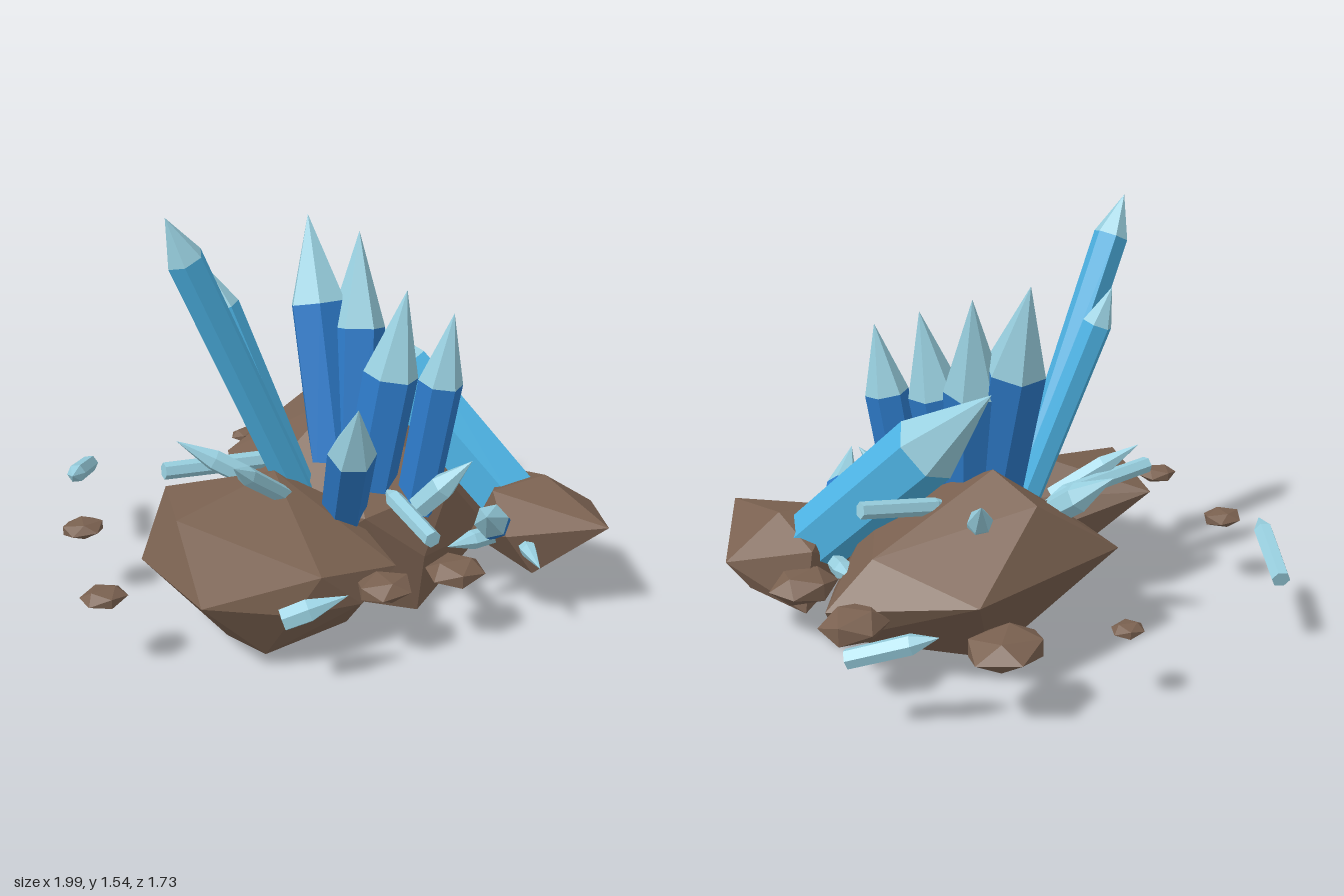
import * as THREE from 'three';
import { ConvexGeometry } from 'three/addons/geometries/ConvexGeometry.js';

const mat = (name, color) => {
  const m = new THREE.MeshStandardMaterial({ color });
  m.name = name;
  return m;
};

// Faceted normals for every geometry
const facet = (geo) => {
  const g = geo.index ? geo.toNonIndexed() : geo;
  g.computeVertexNormals();
  return g;
};

export function createModel() {
  const root = new THREE.Group();
  root.name = 'crystalCluster';
  const stone = mat('brown stone', 0x7a6150);
  const sky = mat('light blue crystal', 0x4db3e4);
  const deep = mat('deep blue crystal', 0x2d7ac8);
  const pale = mat('pale crystal', 0x98cfdf);

  const add = (parent, name, geo, material) => {
    const m = new THREE.Mesh(facet(geo), material);
    m.name = name;
    parent.add(m);
    return m;
  };

  // Large boulders as convex hulls of their corners
  const boulders = {
    backBoulder: [
      [0.21, 0, 0.4], [0.28, 0, -0.17], [-0.25, 0.065, 0.02], [0.78, 0.17, 0.05], [0.84, 0.3, 0.03],
      [0.68, 0.47, -0.03], [0.57, 0.41, -0.46], [-0.1, 0.41, -0.43], [0.21, 0.63, -0.34],
      [0.2, 0.69, -0.1], [-0.25, 0.35, -0.1], [0.22, 0.23, 0.42], [0.6, 0.2, 0.33],
      [0, 0.42, 0.35], [0.38, 0.46, 0.36],
    ],
    leftBoulder: [
      [-0.5, 0.05, 0.22], [-0.46, 0.06, 0.41], [-0.12, 0.07, 0.41], [-0.2, 0.068, 0.08],
      [-0.71, 0.32, 0], [-0.71, 0.33, 0.42], [-0.63, 0.5, 0.12], [-0.49, 0.45, -0.22],
      [-0.22, 0.57, 0.1], [-0.31, 0.37, 0.53], [0.01, 0.42, 0.2], [0.01, 0.31, 0.52],
      [-0.15, 0.22, 0.54], [-0.42, 0.26, 0.53], [-0.12, 0.3, 0.02],
    ],
    frontBoulder: [
      [0.68, 0.41, 0.87], [0.91, 0.32, 0.56], [0.7, 0.47, 0.52], [0.48, 0.45, 0.48],
      [0.4, 0.36, 0.65], [0.5, 0.2, 0.69], [0.76, 0.17, 0.28], [0.62, 0.15, 0.61],
      [0.72, 0.4, 0.28], [0.85, 0.22, 0.5], [0.45, 0.25, 0.4],
    ],
  };
  for (const [name, pts] of Object.entries(boulders)) {
    add(root, name, new ConvexGeometry(pts.map((p) => new THREE.Vector3(...p))), stone);
  }

  // Flattened pebbles: x, y, z, radius, half height
  [
    [-0.92, 0.305, 0.13, 0.085, 0.032], [-0.77, 0.305, -0.35, 0.087, 0.032],
    [0.16, 0.3, -0.73, 0.064, 0.025], [0.53, 0.29, -0.54, 0.155, 0.06],
    [0.81, 0.3, -0.1, 0.13, 0.065], [0.77, 0.29, 0.265, 0.13, 0.06],
    [-0.1, 0.3, 0.6, 0.11, 0.043], [0.17, 0.3, 0.65, 0.115, 0.046],
  ].forEach(([x, y, z, r, h], i) => {
    const g = new THREE.IcosahedronGeometry(1, 0).rotateY(i * 1.3).scale(r, h, r * 0.85);
    add(root, 'pebble', g, stone).position.set(x, y, z);
  });

  // Six-sided crystal from base to tip; share is the body's part of the length
  const up = new THREE.Vector3(0, 1, 0);
  const crystal = (name, base, tip, r, share, bodyMat, roll = 0) => {
    const a = new THREE.Vector3(...base);
    const dir = new THREE.Vector3(...tip).sub(a);
    const len = dir.length();
    const body = len * share;
    const g = new THREE.Group();
    g.name = name;
    const prism = new THREE.CylinderGeometry(r, r * 0.95, body, 6).translate(0, body / 2, 0);
    add(g, name + 'Body', prism.rotateY(roll), bodyMat);
    const point = new THREE.ConeGeometry(r, len - body, 6, 1, true).translate(0, (len + body) / 2, 0);
    add(g, name + 'Tip', point.rotateY(roll), pale);
    g.position.copy(a);
    g.quaternion.setFromUnitVectors(up, dir.normalize());
    root.add(g);
  };

  // Main crystals
  crystal('tallCrystal', [-0.1, 0.42, 0.08], [-0.59, 1.54, 0.055], 0.066, 0.87, sky, Math.PI / 6);
  crystal('slimCrystal', [-0.06, 0.43, 0.03], [-0.32, 1.27, -0.155], 0.056, 0.84, sky);
  crystal('leaningCrystal', [0.62, 0.36, 0.42], [0.29, 1.01, -0.2], 0.13, 0.65, sky, Math.PI / 6);
  crystal('leftCrystal', [-0.02, 0.38, 0.24], [-0.16, 0.94, 0.52], 0.085, 0.62, deep);
  crystal('backCrystal', [0.1, 0.4, 0.05], [0.16, 1.37, -0.25], 0.11, 0.68, deep, Math.PI / 6);
  crystal('middleCrystal', [0.14, 0.4, 0.08], [0.29, 1.32, -0.105], 0.105, 0.63, deep);
  crystal('frontCrystal', [0.25, 0.38, 0.32], [0.33, 1.14, 0.4], 0.081, 0.66, deep);
  crystal('centreCrystal', [0.11, 0.38, 0.2], [0.24, 1.2, 0.25], 0.1, 0.62, deep);
  crystal('lowCrystal', [0.47, 0.33, 0.52], [0.21, 0.54, 0.75], 0.062, 0.52, deep);

  // Pale shards: base, tip, radius, body share
  [
    [[-0.51, 0.3, -0.84], [-0.7, 0.4, -0.58], 0.036, 0.78],
    [[0.97, 0.305, -0.28], [0.76, 0.39, -0.49], 0.036, 0.7],
    [[-0.5, 0.3, 0.58], [-0.3, 0.37, 0.67], 0.042, 0.4],
    [[-0.22, 0.5, 0.17], [-0.5, 0.73, 0.29], 0.034, 0.75],
    [[-0.52, 0.54, -0.17], [-0.05, 0.5, -0.1], 0.033, 0.8],
    [[-0.18, 0.45, 0], [-0.46, 0.64, -0.18], 0.04, 0.6],
    [[0.01, 0.52, -0.22], [-0.06, 0.69, -0.44], 0.055, 0.4],
    [[0.35, 0.54, -0.2], [0.45, 0.69, -0.33], 0.045, 0.35],
    [[0.68, 0.63, 0.03], [0.3, 0.56, -0.03], 0.032, 0.75],
    [[0.64, 0.34, 0.25], [0.69, 0.36, 0.08], 0.036, 0.45],
    [[0.08, 0.44, 0.63], [0.14, 0.47, 0.28], 0.033, 0.8],
    [[0.22, 0.42, 0.38], [0.33, 0.63, 0.53], 0.05, 0.45],
    [[0.48, 0.31, 0.54], [0.24, 0.31, 0.52], 0.035, 0.55],
    [[0.5, 0.33, 0.6], [0.42, 0.3, 0.81], 0.03, 0.5],
  ].forEach(([base, tip, r, share]) => crystal('shard', base, tip, r, share, pale));

  return root;
}
